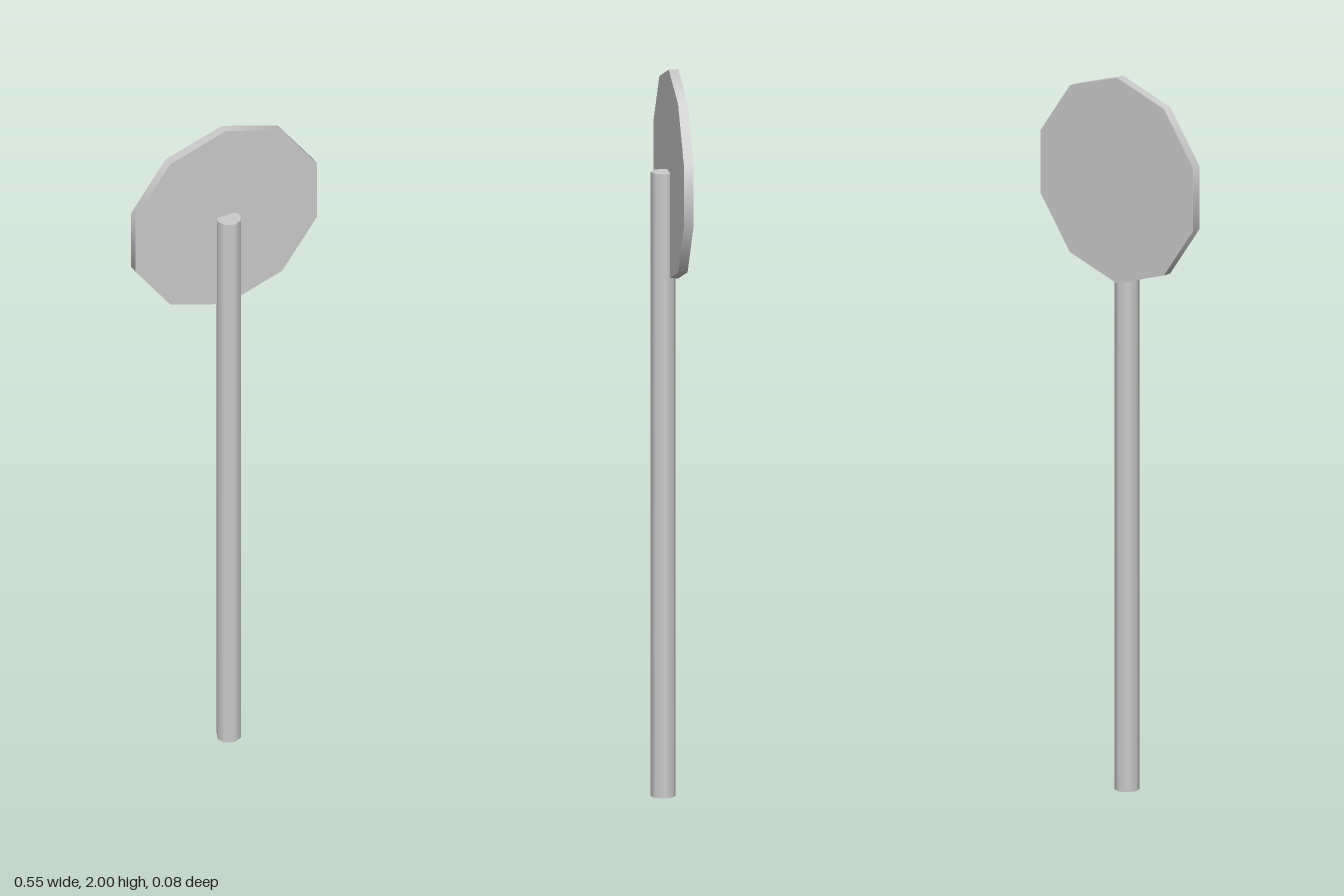
import * as THREE from 'three';

export function createModel() {
  const model = new THREE.Group();
  model.name = 'roundSignPost';
  const material = new THREE.MeshStandardMaterial({ color: 0xcccccc });

  const add = (name, geometry, x, y, z) => {
    const mesh = new THREE.Mesh(geometry, material);
    mesh.name = name;
    mesh.position.set(x, y, z);
    model.add(mesh);
  };

  // Eight-sided upright post
  const postHeight = 1.72;
  add('post', new THREE.CylinderGeometry(0.034, 0.034, postHeight, 8), 0, postHeight / 2, 0.003);

  // Ten-sided plate standing upright behind the post, one corner at the top
  const plateRadius = 0.288;
  const plate = new THREE.CylinderGeometry(plateRadius, plateRadius, 0.026, 10);
  plate.rotateX(-Math.PI / 2);
  add('signPlate', plate, 0, 2 - plateRadius, -0.025);

  return model;
}
